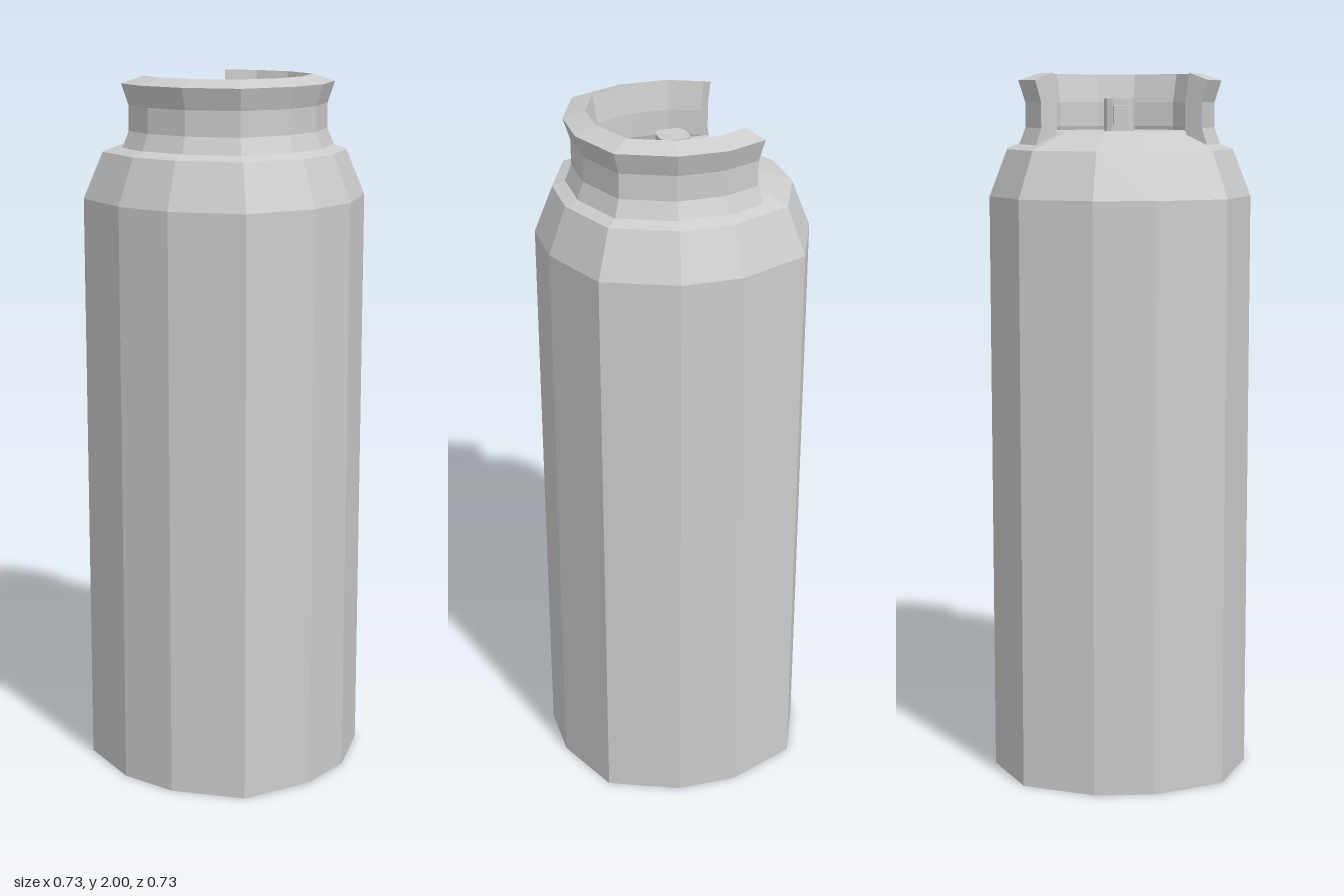
import * as THREE from 'three';

const metal = new THREE.MeshStandardMaterial({ color: 0xcccccc, flatShading: true });
metal.name = 'grey metal';

// Flat-sided geometry from quads with counter-clockwise corners
function fromQuads(quads) {
  const pos = [];
  const tri = (a, b, c) => {
    const area = new THREE.Triangle(a, b, c).getArea();
    if (area > 1e-9) for (const p of [a, b, c]) pos.push(p.x, p.y, p.z);
  };
  for (const [a, b, c, d] of quads) {
    tri(a, b, c);
    tri(a, c, d);
  }
  const g = new THREE.BufferGeometry();
  g.setAttribute('position', new THREE.Float32BufferAttribute(pos, 3));
  g.computeVertexNormals();
  return g;
}

// Quads between successive rows of points
function skin(rows, closed) {
  const quads = [];
  for (let i = 0; i < rows.length - 1; i++) {
    const lo = rows[i], hi = rows[i + 1], n = lo.length;
    for (let j = 0; j < (closed ? n : n - 1); j++) {
      const k = (j + 1) % n;
      quads.push([lo[j], hi[j], hi[k], lo[k]]);
    }
  }
  return quads;
}

// Twelve-sided rounded square of half-width 1; a = flat half-length, c = corner
const outline = (a, c) => [
  [1, -a], [1, a], [c, c], [a, 1], [-a, 1], [-c, c],
  [-1, a], [-1, -a], [-c, -c], [-a, -1], [a, -1], [c, -c],
];
const row = (shape, half, y) => shape.map(([x, z]) => new THREE.Vector3(x * half, y, z * half));
const loft = (shape, profile) => fromQuads(skin(profile.map(([h, y]) => row(shape, h, y)), true));

export function createModel() {
  const model = new THREE.Group();
  model.name = 'gasCylinder';
  const add = (name, geometry) => {
    const mesh = new THREE.Mesh(geometry, metal);
    mesh.name = name;
    model.add(mesh);
    return mesh;
  };

  // Tank with sloped shoulder and shallow dome
  add('tank', loft(outline(0.232, 0.772), [
    [0, 0], [0.367, 0], [0.367, 1.66], [0.317, 1.79], [0.195, 1.84], [0, 1.84],
  ]));

  // Waisted collar, open at the back
  const cut = [0.833, -0.636];
  const arc = [cut, ...outline(0.245, 0.776).slice(0, 8), [-cut[0], cut[1]]];
  const outer = [[0.286, 1.795], [0.265, 1.85], [0.265, 1.92], [0.284, 1.98]].map(([h, y]) => row(arc, h, y));
  const inner = [[0.228, 1.795], [0.212, 1.85], [0.212, 1.92], [0.225, 2.0]].map(([h, y]) => row(arc, h, y));
  const quads = skin([...outer, ...[...inner].reverse(), outer[0]], false);
  const end = arc.length - 1;
  for (let i = 0; i < outer.length - 1; i++) {
    quads.push([outer[i][0], inner[i][0], inner[i + 1][0], outer[i + 1][0]]);
    quads.push([inner[i][end], outer[i][end], outer[i + 1][end], inner[i + 1][end]]);
  }
  add('collar', fromQuads(quads));

  // Valve body and its outlet towards the back
  add('valve', loft(outline(0.48, 0.85), [[0, 1.83], [0.042, 1.83], [0.042, 1.93], [0, 1.93]]));
  add('valveOutlet', new THREE.BoxGeometry(0.038, 0.05, 0.075)).position.set(0, 1.885, -0.0675);

  return model;
}
